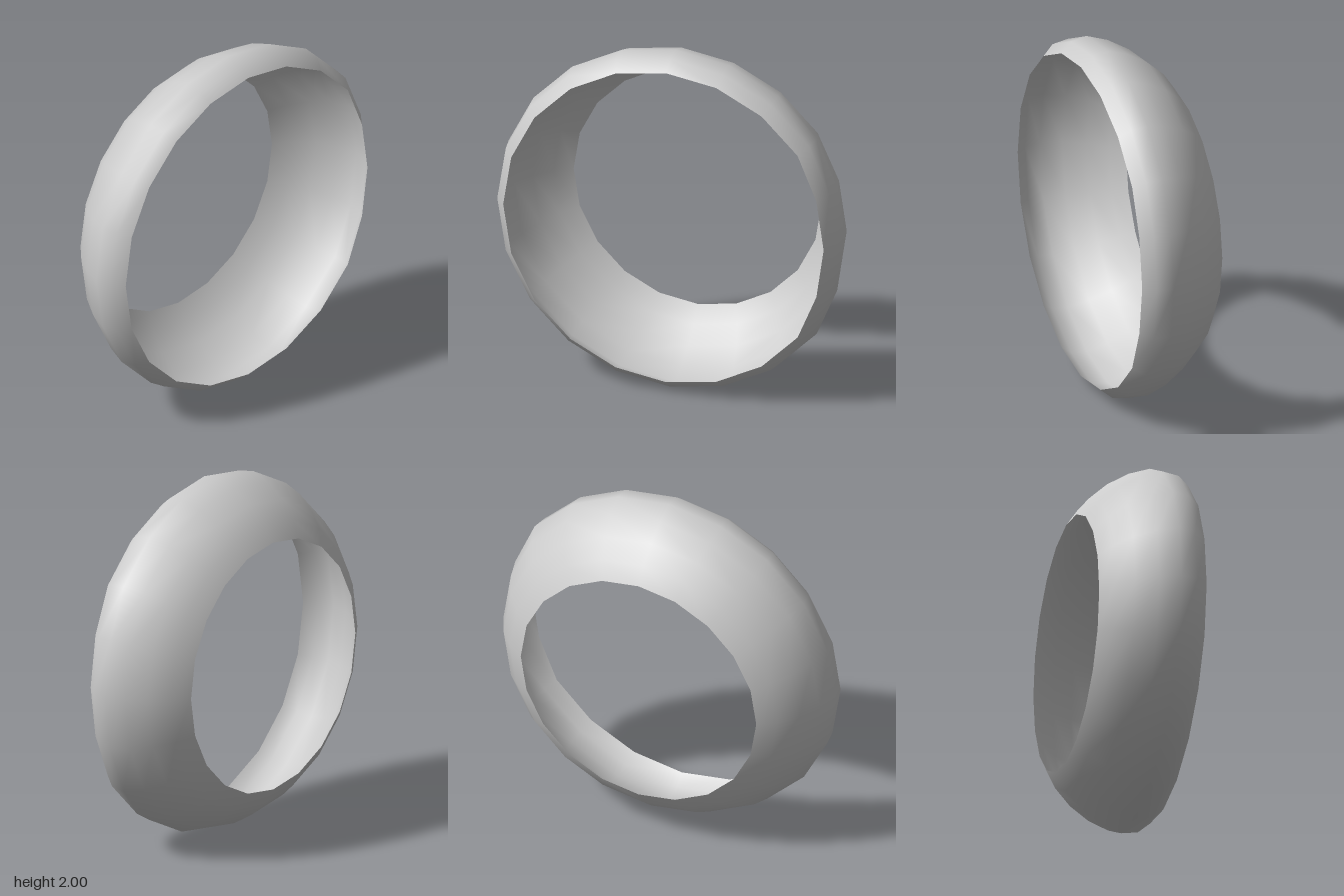
import * as THREE from 'three';

const SIDES = 20;

// Band cross-section as [radius, z], back rim to front rim
const PROFILE = [
  [0.708, -0.272], [0.802, -0.21], [0.89, -0.115], [0.96, 0],
  [1, 0.115], [0.985, 0.208], [0.93, 0.272],
];

const { clamp } = THREE.MathUtils;

export function createModel() {
  const group = new THREE.Group();
  group.name = 'ringBand';

  // Revolve the curved wall, then turn its axis to face the front
  const points = PROFILE.map(([r, z]) => new THREE.Vector2(r, z));
  const geometry = new THREE.LatheGeometry(points, SIDES);
  geometry.rotateX(Math.PI / 2);

  // Slight flattening of the +x side, growing toward the front rim
  const pos = geometry.attributes.position;
  for (let i = 0; i < pos.count; i++) {
    const x = pos.getX(i), y = pos.getY(i), z = pos.getZ(i);
    const side = clamp((x / Math.hypot(x, y) - 0.81) / 0.165, 0, 1);
    const depth = clamp((z + 0.15) / 0.25, 0, 1);
    pos.setX(i, x + 0.012 - 0.029 * side * depth);
  }

  // Thin open shell, visible inside and out
  const band = new THREE.Mesh(
    geometry,
    new THREE.MeshStandardMaterial({ color: 0xcccccc, side: THREE.DoubleSide })
  );
  band.name = 'band';
  band.position.y = 1;
  group.add(band);
  return group;
}
